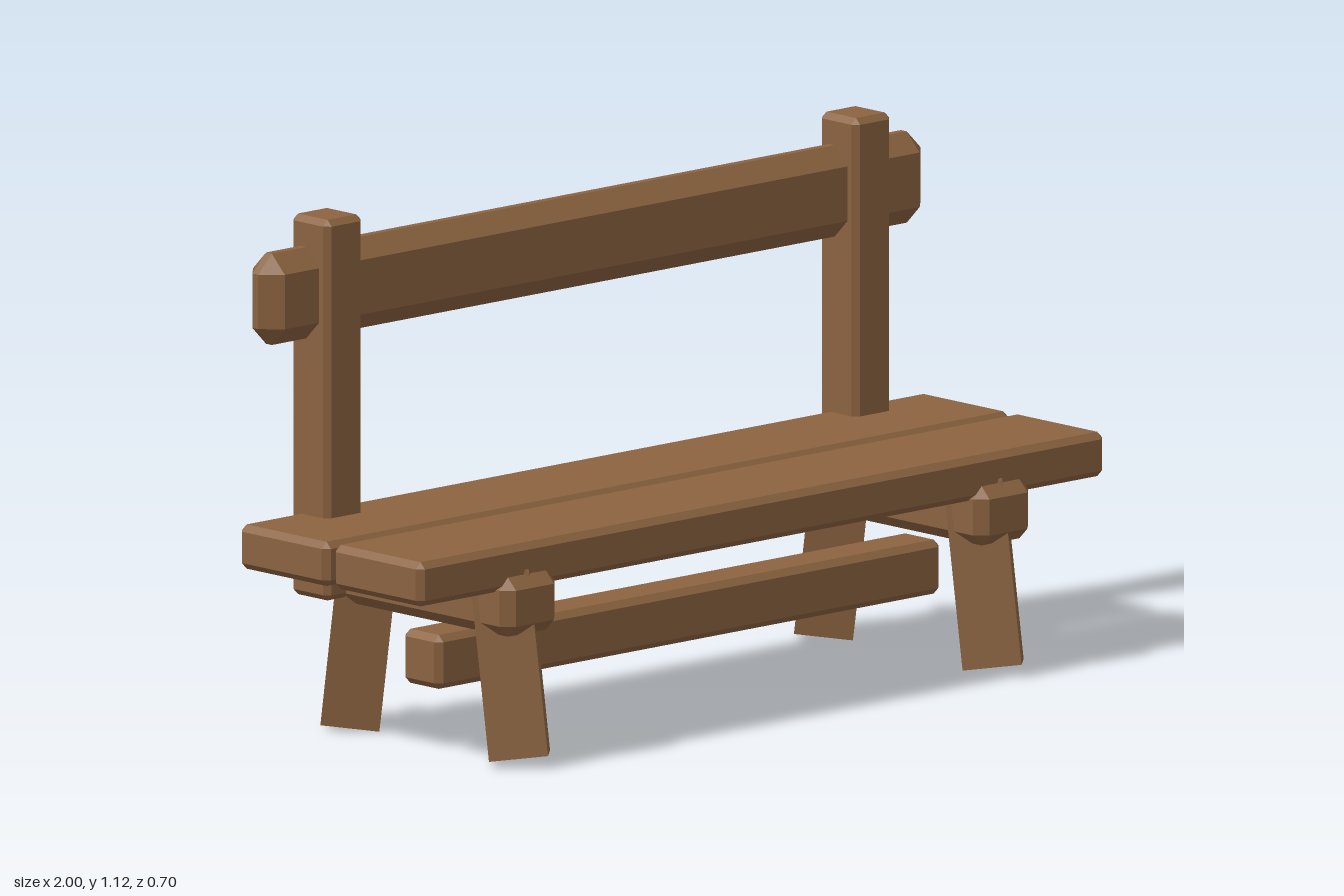
import * as THREE from 'three';
import { ConvexGeometry } from 'three/addons/geometries/ConvexGeometry.js';

// Box from min to max with every edge and corner cut at 45 degrees
function chamferBox(min, max, c) {
  const lo = new THREE.Vector3(...min), hi = new THREE.Vector3(...max);
  const mid = lo.clone().add(hi).multiplyScalar(0.5);
  const h = hi.clone().sub(lo).multiplyScalar(0.5);
  const points = [];
  for (const sx of [-1, 1]) for (const sy of [-1, 1]) for (const sz of [-1, 1]) {
    for (const [a, b, d] of [[0, c, c], [c, 0, c], [c, c, 0]]) {
      points.push(new THREE.Vector3(sx * (h.x - a), sy * (h.y - b), sz * (h.z - d)));
    }
  }
  return new ConvexGeometry(points).translate(mid.x, mid.y, mid.z);
}

export function createModel() {
  const bench = new THREE.Group();
  bench.name = 'bench';
  const wood = new THREE.MeshStandardMaterial({ color: 0x8b6340 });
  wood.name = 'brown wood';
  wood.flatShading = true;

  const add = (name, geometry) => {
    const mesh = new THREE.Mesh(geometry, wood);
    mesh.name = name;
    bench.add(mesh);
    return mesh;
  };

  // Two seat planks with a narrow gap
  add('frontSeatPlank', chamferBox([-1, 0.384, 0.008], [1, 0.48, 0.283], 0.014));
  add('backSeatPlank', chamferBox([-1, 0.384, -0.283], [1, 0.48, -0.008], 0.014));

  // Backrest rail and the low stretcher between the legs
  add('backrestRail', chamferBox([-0.965, 0.862, -0.314], [0.965, 1.06, -0.216], 0.04));
  add('stretcher', chamferBox([-0.735, 0.133, -0.058], [0.735, 0.25, 0.058], 0.014));

  for (const side of [1, -1]) {
    const label = side > 0 ? 'left' : 'right';
    const x = side * 0.69, px = side * 0.77;

    // Cross bearer under the seat
    add(label + 'Bearer', chamferBox([x - 0.08, 0.286, -0.309], [x + 0.08, 0.414, 0.309], 0.025));

    // Backrest post with its peg
    add(label + 'Post', chamferBox([px - 0.055, 0.3, -0.308], [px + 0.055, 1.125, -0.191], 0.013));
    const peg = add(label + 'Peg', new THREE.CylinderGeometry(0.022, 0.022, 0.1, 8));
    peg.rotation.x = Math.PI / 2;
    peg.position.set(px, 0.35, -0.29);

    // Splayed square legs, set diagonally into the bearer
    for (const dir of [1, -1]) {
      const leg = add(label + (dir > 0 ? 'FrontLeg' : 'BackLeg'),
        new THREE.CylinderGeometry(0.089, 0.089, 0.4, 4).translate(0, 0.2, 0));
      leg.position.set(x, 0.016, dir * 0.261);
      leg.rotation.x = -dir * 0.15;
    }
  }
  return bench;
}
